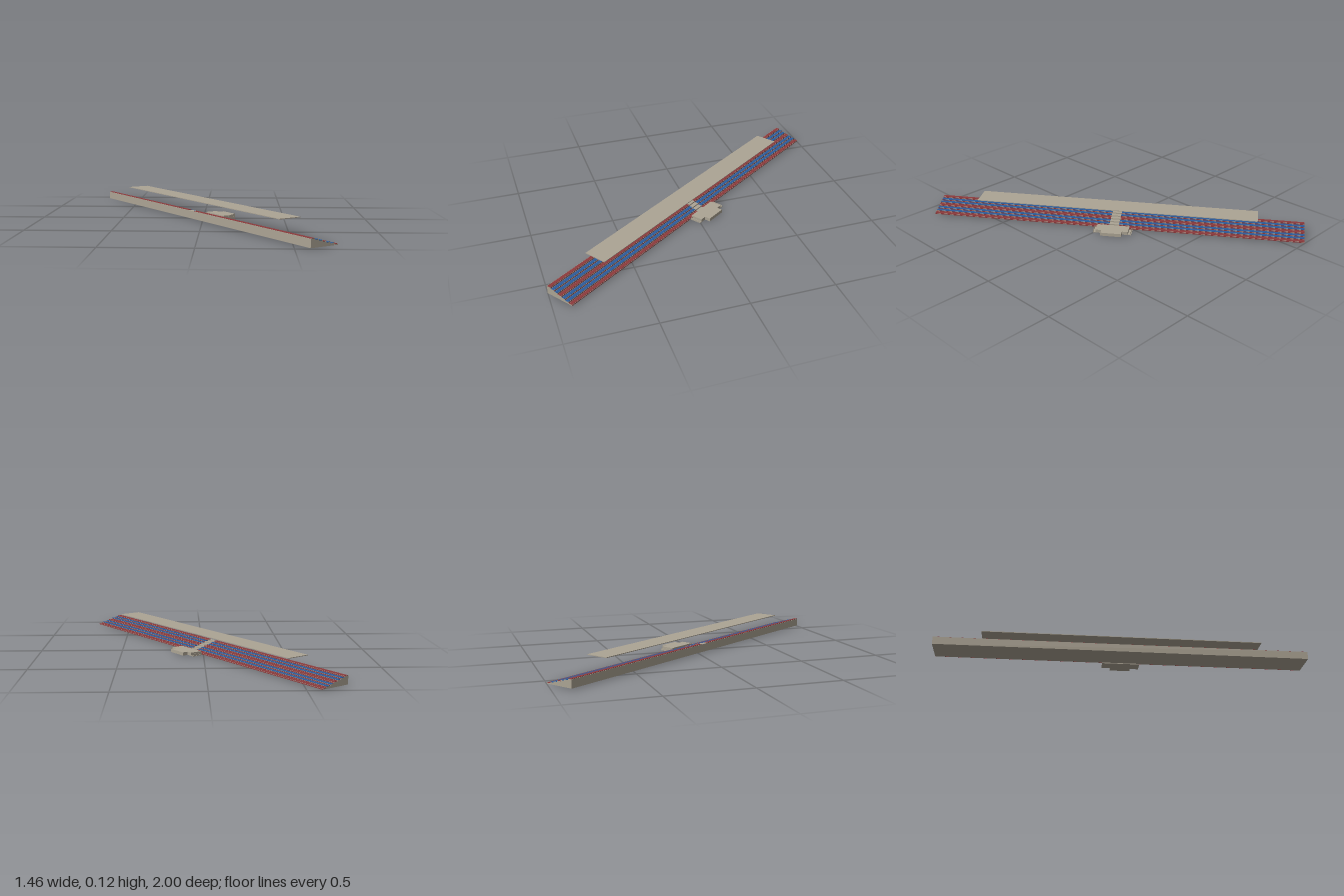
import * as THREE from 'three';

const LENGTH = 2.308, WIDTH = 0.18, ROWS = 7, BASE = 0.005, TOP = 0.053, STEP = 0.0072, AISLE = 0.06;

export function createModel() {
  const concrete = new THREE.MeshStandardMaterial({ color: 0xaca494 });
  concrete.name = 'concrete';
  const red = new THREE.MeshStandardMaterial({ color: 0x8e3a3c });
  red.name = 'redSeats';
  const blue = new THREE.MeshStandardMaterial({ color: 0x2c5c9c });
  blue.name = 'blueSeats';

  // Local frame: z runs along the stand, x points down the rows
  const model = new THREE.Group();
  model.name = 'grandstand';
  const stand = new THREE.Group();
  stand.name = 'stand';
  stand.rotation.y = Math.atan2(0.567, 0.823);
  model.add(stand);

  // Box from minimum and maximum corners
  const box = (name, mat, [x0, y0, z0], [x1, y1, z1]) => {
    const mesh = new THREE.Mesh(new THREE.BoxGeometry(x1 - x0, y1 - y0, z1 - z0), mat);
    mesh.position.set((x0 + x1) / 2, (y0 + y1) / 2, (z0 + z1) / 2);
    mesh.name = name;
    stand.add(mesh);
  };

  // Stepped terrace
  const depth = WIDTH / ROWS;
  const profile = new THREE.Shape();
  profile.moveTo(-WIDTH / 2, BASE);
  profile.lineTo(WIDTH / 2, BASE);
  for (let i = ROWS - 1; i >= 0; i--) {
    const x = -WIDTH / 2 + i * depth, y = TOP - i * STEP;
    profile.lineTo(x + depth, y);
    profile.lineTo(x, y);
  }
  profile.closePath();
  const terraceGeometry = new THREE.ExtrudeGeometry(profile, { depth: LENGTH, bevelEnabled: false });
  terraceGeometry.translate(0, 0, -LENGTH / 2);
  const terrace = new THREE.Mesh(terraceGeometry, concrete);
  terrace.name = 'terrace';
  stand.add(terrace);

  // Seat rows and painted risers on both sides of the central aisle
  for (let i = 0; i < ROWS; i++) {
    const x = -WIDTH / 2 + i * depth, y = TOP - i * STEP;
    for (const side of [-1, 1]) {
      const ends = [side * AISLE / 2, side * (LENGTH / 2 - 0.001)].sort((a, b) => a - b);
      box('seatRow', i % 3 === 0 ? red : blue, [x + 0.003, y, ends[0]], [x + depth - 0.002, y + 0.002, ends[1]]);
      box('riser', red, [x + depth, y - 0.0055, ends[0]], [x + depth + 0.0006, y - 0.001, ends[1]]);
    }
  }

  // Flat roof
  box('roof', concrete, [-0.07, 0.111, -0.87], [0.07, 0.115, 0.87]);

  // Entrance building in front of the centre
  box('entranceFloor', concrete, [0.085, 0, -0.12], [0.16, 0.004, 0.115]);
  box('entranceHall', concrete, [0.085, 0.004, -0.1], [0.16, 0.02, 0.1]);
  box('entrancePorch', concrete, [0.16, 0, -0.064], [0.195, 0.02, 0.063]);
  for (const side of [-1, 1]) {
    const z = side * 0.115;
    box('entranceEndWall', concrete, [0.09, 0.004, z - 0.001], [0.16, 0.014, z + 0.001]);
  }

  return model;
}
